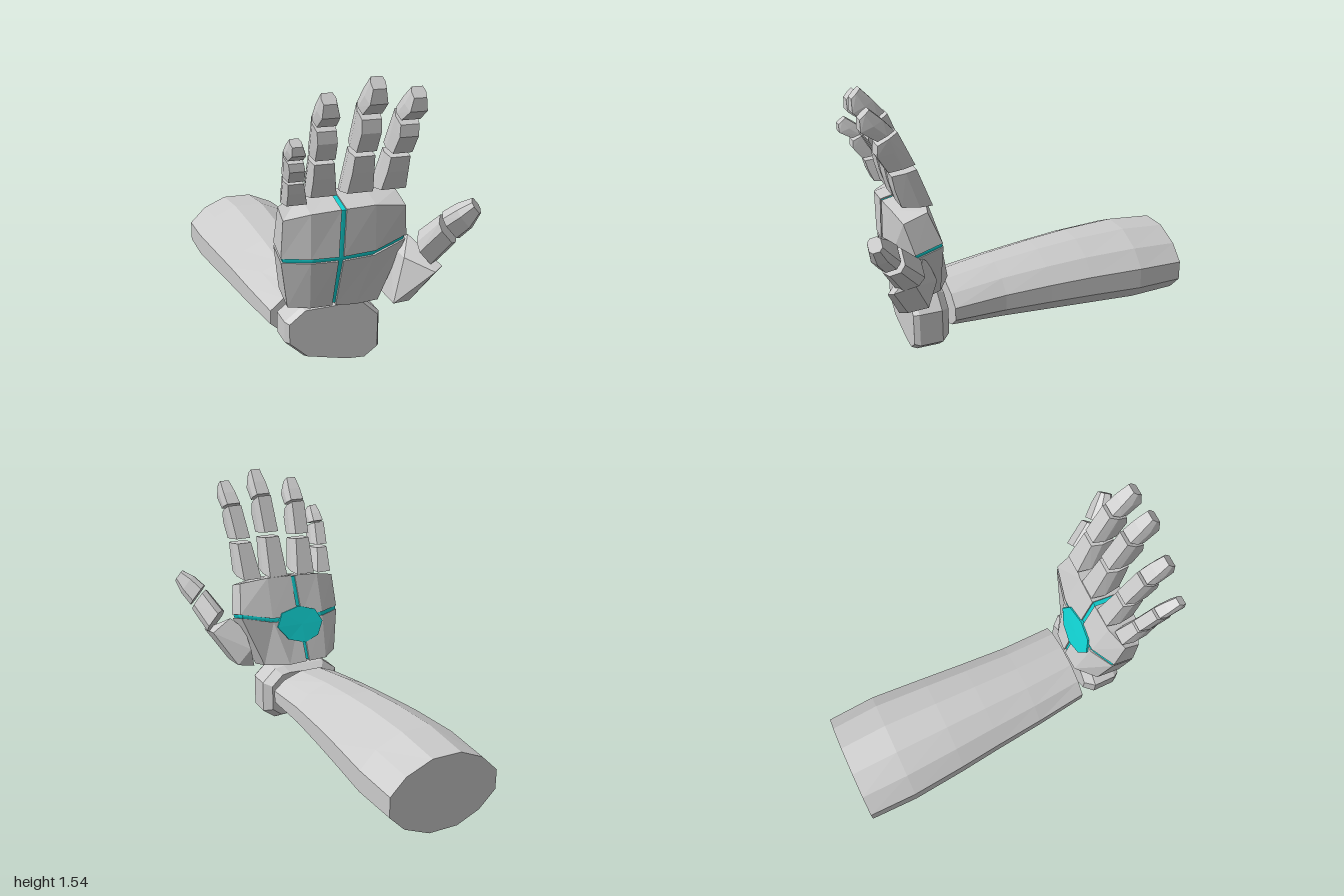
import * as THREE from 'three';
import { ConvexGeometry } from 'three/addons/geometries/ConvexGeometry.js';

const grey = new THREE.MeshStandardMaterial({ color: 0xcccccc, flatShading: true });
const teal = new THREE.MeshStandardMaterial({ color: 0x10d0d0, flatShading: true });
const V = (x, y, z) => new THREE.Vector3(x, y, z);

function part(name, geometry, material = grey) {
  const flat = geometry.index ? geometry.toNonIndexed() : geometry;
  flat.computeVertexNormals();
  const mesh = new THREE.Mesh(flat, material);
  mesh.name = name;
  return mesh;
}

// Forearm: twelve-sided sections running backwards, [z, x0, x1, y0, y1]
function forearm() {
  const outline = [[1, 0.27], [1, -0.27], [0.72, -0.7], [0.25, -1], [-0.28, -1], [-0.7, -0.72],
    [-1, -0.27], [-1, 0.27], [-0.7, 0.72], [-0.28, 1], [0.25, 1], [0.72, 0.7]];
  const rings = [[0.44, -0.39, 0.085, 0.08, 0.355], [0.13, -0.43, 0.077, 0.05, 0.395],
    [-0.15, -0.46, 0.09, 0.03, 0.425], [-0.4, -0.49, 0.105, 0.015, 0.445],
    [-0.72, -0.52, 0.125, 0, 0.455], [-1, -0.52, 0.11, 0.01, 0.43]];
  const n = outline.length, last = (rings.length - 1) * n, pos = [], idx = [];
  for (const [z, x0, x1, y0, y1] of rings) {
    for (const [u, v] of outline) {
      pos.push((x0 + x1) / 2 + u * (x1 - x0) / 2, (y0 + y1) / 2 + v * (y1 - y0) / 2, z);
    }
  }
  for (let i = 0; i < rings.length - 1; i++) {
    for (let j = 0; j < n; j++) {
      const a = i * n + j, b = i * n + (j + 1) % n;
      idx.push(a, b, a + n, b, b + n, a + n);
    }
  }
  for (let j = 1; j < n - 1; j++) {
    idx.push(0, j + 1, j, last, last + j, last + j + 1);
  }
  const g = new THREE.BufferGeometry();
  g.setAttribute('position', new THREE.Float32BufferAttribute(pos, 3));
  g.setIndex(idx);
  return part('forearm', g);
}

// Wrist: bevelled block, one outline scaled at four depths
function wrist() {
  const outline = [[-0.38, 0.29], [-0.29, 0.36], [-0.02, 0.37], [0.04, 0.36], [0.125, 0.28],
    [0.125, 0.09], [0.05, 0.035], [-0.05, 0.04], [-0.28, 0.09], [-0.38, 0.18]];
  const points = [];
  for (const [z, s] of [[0.48, 0.82], [0.53, 1], [0.66, 1], [0.69, 0.93]]) {
    for (const [x, y] of outline) points.push(V(-0.12 + (x + 0.12) * s, 0.2 + (y - 0.2) * s, z));
  }
  return part('wrist', new ConvexGeometry(points));
}

// Palm rule: u 0..4 across, v 0..2 up, w 0..1 from back to front
const palm = {
  x: [[-0.37, -0.26, -0.14, -0.03, 0.11], [-0.41, -0.27, -0.125, 0.05, 0.25], [-0.4, -0.27, -0.11, 0.05, 0.22]],
  y: [[0.4, 0.395, 0.395, 0.385, 0.375], [0.66, 0.66, 0.66, 0.665, 0.71], [0.865, 0.9, 0.91, 0.915, 0.89]],
  back: [[0.53, 0.43, 0.43, 0.44, 0.53], [0.58, 0.505, 0.505, 0.505, 0.55], [0.63, 0.585, 0.58, 0.58, 0.62]],
  front: [[0.68, 0.72, 0.72, 0.72, 0.68], [0.71, 0.77, 0.78, 0.77, 0.7], [0.72, 0.77, 0.775, 0.77, 0.75]],
};
function palmPoint(u, v, w) {
  const i = Math.min(3, Math.max(0, Math.floor(u))), k = v < 1 ? 0 : 1;
  const lerp = THREE.MathUtils.lerp;
  const at = (t) => lerp(lerp(t[k][i], t[k][i + 1], u - i), lerp(t[k + 1][i], t[k + 1][i + 1], u - i), v - k);
  return [at(palm.x), at(palm.y) + (0.5 - w) * 0.045, lerp(at(palm.back), at(palm.front), w)];
}
function onPalm(geometry) {
  const p = geometry.attributes.position;
  for (let i = 0; i < p.count; i++) p.setXYZ(i, ...palmPoint(p.getX(i), p.getY(i), p.getZ(i)));
  return geometry;
}
function palmBlock(u0, u1, v0, v1, w0, w1, nu, nv) {
  const g = new THREE.BoxGeometry(u1 - u0, v1 - v0, w1 - w0, nu, nv, 1);
  return onPalm(g.translate((u0 + u1) / 2, (v0 + v1) / 2, (w0 + w1) / 2));
}
function hand() {
  const group = new THREE.Group();
  group.name = 'palm';
  const gu = 0.08, gv = 0.045;
  for (const [u0, u1] of [[0, 2 - gu], [2 + gu, 4]]) {
    for (const [v0, v1] of [[0, 1 - gv], [1 + gv, 2]]) {
      group.add(part('palmPlate', palmBlock(u0, u1, v0, v1, 0, 1, 2, 1)));
    }
  }
  // Glowing core seen in the grooves, and the octagon on the back of the hand
  group.add(part('palmCore', palmBlock(0.06, 3.94, 0.03, 1.97, 0.04, 0.96, 4, 2), teal));
  const disc = new THREE.CylinderGeometry(1, 1, 0.06, 8).rotateX(Math.PI / 2);
  group.add(part('backOctagon', onPalm(disc.scale(0.98, 0.42, 1).translate(2, 0.85, 0)), teal));
  return group;
}

// Finger: three curled segments of three rings, [zBack, yBack, zFront, yFront, halfWidth]
const segments = [
  [[0.585, 0.935, 0.755, 0.955, 0.075], [0.63, 1.06, 0.785, 1.06, 0.063], [0.665, 1.165, 0.8, 1.145, 0.058]],
  [[0.672, 1.195, 0.815, 1.17, 0.058], [0.72, 1.3, 0.87, 1.27, 0.056], [0.76, 1.4, 0.865, 1.335, 0.055]],
  [[0.775, 1.41, 0.865, 1.36, 0.055], [0.83, 1.475, 0.945, 1.42, 0.05], [0.895, 1.54, 0.945, 1.49, 0.037]],
];
function finger({ name, x0, x1, y0, sy, z0, sz, sw }) {
  const group = new THREE.Group();
  group.name = name;
  segments.forEach((rings, k) => {
    const points = [];
    for (const [zb, yb, zf, yf, w] of rings) {
      // Six-sided section: narrow back, wide middle, slightly narrower front
      for (const [t, s] of [[0, 0.75], [0.45, 1], [1, 0.88]]) {
        const y = yb + (yf - yb) * t - 0.935, z = zb + (zf - zb) * t - 0.585;
        const x = x0 + (x1 - x0) * y / 0.6;
        for (const side of [-1, 1]) points.push(V(x + side * w * s * sw, y0 + y * sy, z0 + z * sz));
      }
    }
    group.add(part(name + 'Segment' + (k + 1), new ConvexGeometry(points)));
  });
  return group;
}

// Thumb: wide base block, then two tapering segments leaning out and forward
function thumb() {
  const group = new THREE.Group();
  group.name = 'thumb';
  group.add(part('thumbBase', new ConvexGeometry([
    V(0.15, 0.375, 0.6), V(0.24, 0.38, 0.64), V(0.26, 0.385, 0.76), V(0.23, 0.38, 0.8), V(0.15, 0.37, 0.79),
    V(0.18, 0.5, 0.57), V(0.2, 0.62, 0.62), V(0.27, 0.685, 0.67), V(0.21, 0.6, 0.77),
    V(0.375, 0.57, 0.86), V(0.33, 0.55, 0.88), V(0.36, 0.58, 0.74)])));
  const across = V(-0.65, 0.76, 0);
  const ring = (c, w, t, dir) => {
    const b = dir.clone().cross(across).normalize();
    return [[1, 0.5], [1, -0.5], [0.6, -1], [-0.6, -1], [-1, -0.5], [-1, 0.5], [-0.6, 1], [0.6, 1]]
      .map(([p, q]) => c.clone().addScaledVector(across, p * w).addScaledVector(b, q * t));
  };
  const segment = (name, rings) => {
    const dir = rings[rings.length - 1][0].clone().sub(rings[0][0]);
    group.add(part(name, new ConvexGeometry(rings.flatMap(([c, w, t]) => ring(c, w, t, dir)))));
  };
  segment('thumbMiddle', [[V(0.33, 0.645, 0.77), 0.078, 0.085], [V(0.395, 0.765, 0.865), 0.072, 0.062]]);
  segment('thumbTip', [[V(0.4, 0.79, 0.885), 0.072, 0.058], [V(0.445, 0.85, 0.935), 0.064, 0.055],
    [V(0.487, 0.905, 0.968), 0.038, 0.035]]);
  return group;
}

export function createModel() {
  const model = new THREE.Group();
  model.name = 'mechanicalArm';
  model.add(forearm(), wrist(), hand(), thumb());
  const fingers = [
    { name: 'indexFinger', x0: 0.15, x1: 0.195, y0: 0.94, sy: 0.9, z0: 0.585, sz: 0.98, sw: 0.98 },
    { name: 'middleFinger', x0: -0.02, x1: -0.002, y0: 0.935, sy: 1, z0: 0.585, sz: 0.95, sw: 1 },
    { name: 'ringFinger', x0: -0.2, x1: -0.23, y0: 0.93, sy: 0.9, z0: 0.585, sz: 0.88, sw: 0.98 },
    { name: 'littleFinger', x0: -0.34, x1: -0.39, y0: 0.915, sy: 0.605, z0: 0.615, sz: 0.84, sw: 0.76 },
  ];
  for (const f of fingers) model.add(finger(f));
  return model;
}
